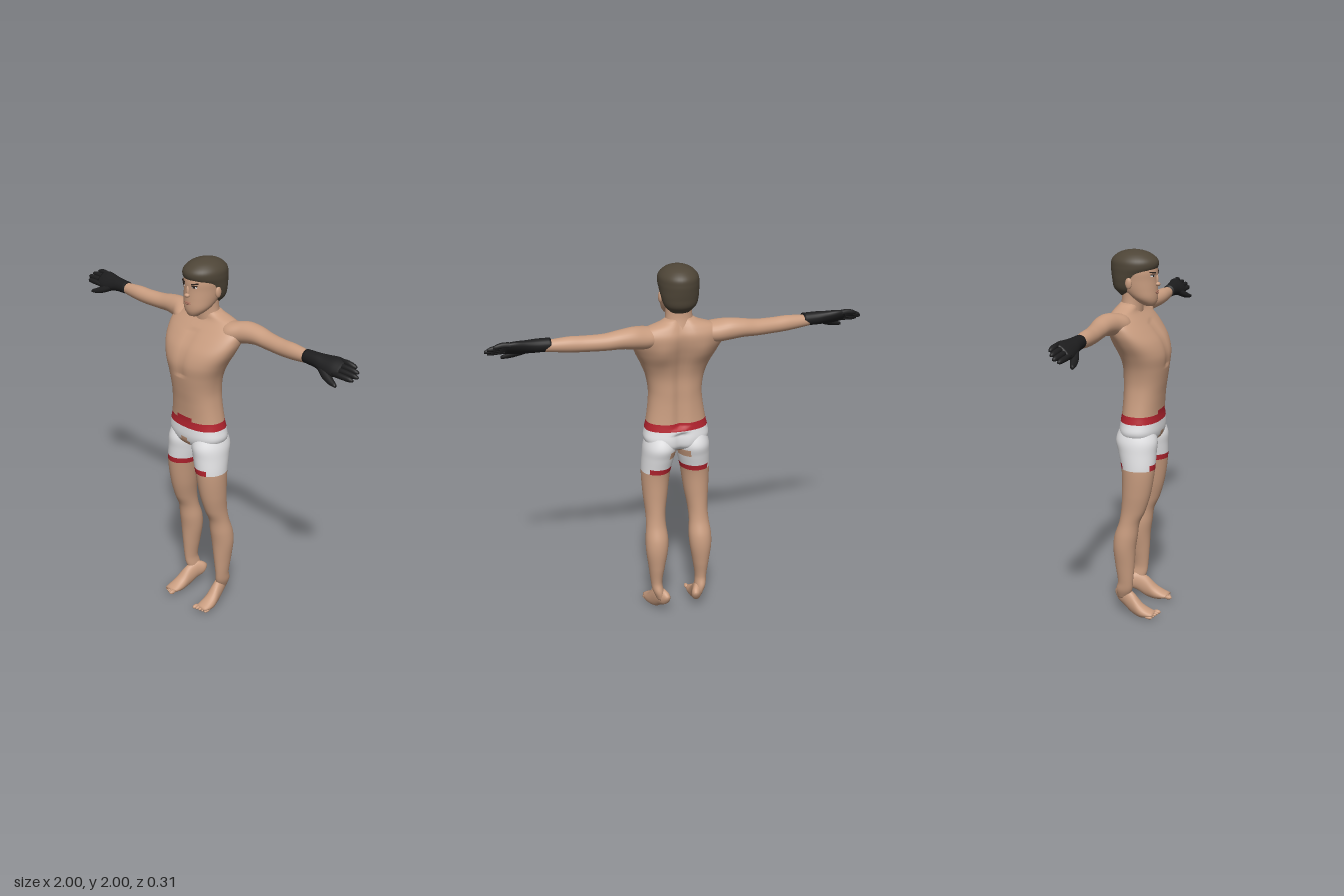
import * as THREE from 'three';

const mat = (name, color, side = THREE.FrontSide) => {
  const m = new THREE.MeshStandardMaterial({ color, side });
  m.name = name;
  return m;
};

// Smooth interpolation through key rows [t, cu, cv, ru, rv]
function sample(keys, t) {
  let i = 0;
  while (i < keys.length - 2 && t > keys[i + 1][0]) i++;
  const a = keys[i], b = keys[i + 1], h = b[0] - a[0], s = (t - a[0]) / h;
  const slope = (k, c) => {
    const p = keys[Math.max(k - 1, 0)], n = keys[Math.min(k + 1, keys.length - 1)];
    return (n[c] - p[c]) / (n[0] - p[0]);
  };
  return [1, 2, 3, 4].map(c => {
    const s2 = s * s, s3 = s2 * s;
    return (2 * s3 - 3 * s2 + 1) * a[c] + (s3 - 2 * s2 + s) * h * slope(i, c)
      + (3 * s2 - 2 * s3) * b[c] + (s3 - s2) * h * slope(i + 1, c);
  });
}

// Closed skin over oval sections. Axis x uses (u, v) = (z, y); y uses (x, z); z uses (y, x).
const place = {
  x: (t, u, v) => new THREE.Vector3(t, v, u),
  y: (t, u, v) => new THREE.Vector3(u, t, v),
  z: (t, u, v) => new THREE.Vector3(v, u, t),
};
function loft(axis, keys, { step = 0.01, sides = 36, power = 2, pick = () => 0, deform } = {}) {
  const t0 = keys[0][0], t1 = keys[keys.length - 1][0], n = Math.max(2, Math.round((t1 - t0) / step));
  const rows = [[t0, 0]];
  for (let i = 0; i <= n; i++) rows.push([t0 + (t1 - t0) * i / n, 1]);
  rows.push([t1, 0]);
  const pts = [], bend = c => Math.sign(c) * Math.abs(c) ** (2 / power);
  for (const [t, open] of rows) {
    const [cu, cv, ru, rv] = sample(keys, t);
    for (let j = 0; j < sides; j++) {
      const a = j / sides * Math.PI * 2;
      const p = place[axis](t, cu + open * ru * bend(Math.cos(a)), cv + open * rv * bend(Math.sin(a)));
      if (deform) deform(p);
      pts.push(p);
    }
  }
  const byColour = [];
  for (let i = 0; i < rows.length - 1; i++) for (let j = 0; j < sides; j++) {
    const k = (j + 1) % sides, a = i * sides + j, b = i * sides + k, c = a + sides, d = b + sides;
    const mid = pts[a].clone().add(pts[d]).multiplyScalar(0.5);
    (byColour[pick(mid)] ??= []).push(a, c, b, b, c, d);
  }
  const geo = new THREE.BufferGeometry().setFromPoints(pts), index = [];
  byColour.forEach((list, m) => {
    geo.addGroup(index.length, list.length, m);
    for (const v of list) index.push(v);
  });
  geo.setIndex(index);
  geo.computeVertexNormals();
  return geo;
}

function mirrored(geo) {
  const g = geo.clone().scale(-1, 1, 1), ix = g.index.array;
  for (let i = 0; i < ix.length; i += 3) [ix[i], ix[i + 1]] = [ix[i + 1], ix[i]];
  g.computeVertexNormals();
  return g;
}

// Skin 0, white 1, red 2: painted shorts with waistband and leg hems
function bodyColour({ x, y, z }) {
  const ax = Math.abs(x);
  if (y < 0.86) return 0;
  if (y < 0.89) return ax > 0.155 && Math.abs(z - 0.03) < 0.075 ? 1 : 2;
  if (z > 0.04 && y > 0.985 && y < 1.05 && ax < 0.012 + (1.05 - Math.abs(y - 1.02) * 8 - 0.7) * 0.07) return 0;
  if (z < 0 && y > 0.95 && y < 0.995 && ax < 0.06) return 0;
  if (y < 1.11) return 1;
  return y < (z > 0 && ax < 0.055 ? 1.17 : 1.15) ? 2 : 0;
}

export function createModel() {
  const root = new THREE.Group();
  root.name = 'boxerFigure';
  const skin = mat('skin', 0xc99d80), white = mat('white cloth', 0xe8e8ea), red = mat('red trim', 0xb5242f);
  const hairMat = mat('hair', 0x4e4537), black = mat('black glove', 0x1d1d1e);
  const dark = mat('eye and brow', 0x2a211c), lip = mat('lips', 0xa8735f);
  const body = [skin, white, red];
  const add = (name, geo, m) => {
    const mesh = new THREE.Mesh(geo, m);
    mesh.name = name;
    root.add(mesh);
  };
  const pair = (name, geo, m) => {
    add(name + 'Left', geo, m);
    add(name + 'Right', mirrored(geo), m);
  };
  const ball = (x, y, z, rx, ry, rz) => new THREE.SphereGeometry(1, 18, 12).scale(rx, ry, rz).translate(x, y, z);
  const plate = (x, y, z, w, h, turn, tilt = 0) =>
    new THREE.BoxGeometry(w, h, 0.007).rotateZ(tilt).rotateY(turn).translate(x, y, z);

  // Torso with a spine groove, shoulder blades and chest line
  add('torso', loft('y', [
    [0.98, 0, 0.01, 0.05, 0.06], [1.01, 0, 0.012, 0.14, 0.098], [1.05, 0, 0.015, 0.176, 0.11],
    [1.10, 0, 0.018, 0.172, 0.108], [1.15, 0, 0.02, 0.161, 0.102], [1.25, 0, 0.027, 0.146, 0.103],
    [1.32, 0, 0.032, 0.143, 0.108], [1.40, 0, 0.036, 0.157, 0.114], [1.47, 0, 0.03, 0.185, 0.123],
    [1.54, 0, 0.006, 0.22, 0.123], [1.60, 0, -0.025, 0.24, 0.11], [1.65, 0, -0.05, 0.235, 0.09],
    [1.69, 0, -0.06, 0.18, 0.065], [1.71, 0, -0.055, 0.11, 0.058], [1.73, 0, -0.05, 0.07, 0.05],
  ], {
    sides: 64, power: 2.3, pick: bodyColour,
    deform: p => {
      const g = Math.exp(-((p.x / 0.03) ** 2));
      if (p.z < -0.03 && p.y > 1.12) p.z += 0.02 * g - 0.012 * Math.exp(-(((Math.abs(p.x) - 0.11) / 0.05) ** 2) - ((p.y - 1.55) / 0.07) ** 2);
      if (p.z < -0.03 && p.y < 1.1) p.z += 0.02 * g;
      if (p.z > 0.05 && p.y > 1.4) p.z -= 0.008 * g;
    },
  }), body);

  // Legs, with the shorts' legs painted on
  pair('leg', loft('y', [
    [0.10, 0.108, -0.06, 0.024, 0.03], [0.15, 0.122, -0.05, 0.03, 0.045], [0.20, 0.128, -0.04, 0.031, 0.042],
    [0.30, 0.127, -0.043, 0.045, 0.053], [0.40, 0.125, -0.045, 0.06, 0.061], [0.47, 0.123, -0.037, 0.062, 0.063],
    [0.55, 0.122, -0.018, 0.054, 0.056], [0.62, 0.12, 0.003, 0.055, 0.066], [0.72, 0.116, 0.02, 0.067, 0.078],
    [0.85, 0.11, 0.028, 0.079, 0.09], [0.95, 0.097, 0.019, 0.088, 0.104], [1.01, 0.09, 0.013, 0.09, 0.112],
    [1.08, 0.085, 0.012, 0.075, 0.09],
  ], { sides: 44, pick: bodyColour }), body);

  // Feet on tiptoe, with five toes each
  pair('foot', loft('z', [
    [-0.112, 0.12, 0.083, 0.012, 0.012], [-0.09, 0.112, 0.09, 0.038, 0.027], [-0.05, 0.105, 0.106, 0.055, 0.03],
    [0, 0.076, 0.118, 0.06, 0.033], [0.05, 0.044, 0.126, 0.04, 0.04], [0.09, 0.034, 0.128, 0.024, 0.041],
    [0.125, 0.032, 0.128, 0.012, 0.034],
  ], { sides: 24 }), skin);
  for (let i = 0; i < 5; i++) {
    const r = i ? 0.0085 : 0.012;
    pair('toe' + (i + 1), ball(0.098 + i * 0.0155, 0.033 - i * 0.003, 0.132 - i * 0.007, r, r, 0.021), skin);
  }

  // Outstretched arms
  pair('arm', loft('x', [
    [0.10, -0.06, 1.64, 0.05, 0.045], [0.18, -0.06, 1.642, 0.072, 0.057], [0.25, -0.082, 1.653, 0.062, 0.057],
    [0.32, -0.09, 1.655, 0.054, 0.049], [0.40, -0.087, 1.648, 0.047, 0.043], [0.50, -0.078, 1.647, 0.043, 0.041],
    [0.58, -0.074, 1.65, 0.04, 0.04], [0.70, -0.07, 1.652, 0.028, 0.028],
  ], { sides: 28 }), skin);

  // Gloves, modelled flat and then tilted with the thumb forward and down
  const tilt = g => g.rotateX(0.72).translate(0, 1.658, -0.066);
  pair('glovePalm', tilt(loft('x', [
    [0.67, 0, 0, 0.034, 0.034], [0.74, 0, 0, 0.038, 0.034], [0.79, 0.002, 0, 0.046, 0.03],
    [0.85, 0, 0, 0.053, 0.026], [0.895, 0, 0, 0.048, 0.019],
  ], { sides: 24 })), black);
  [0.958, 0.985, 0.998, 0.982].forEach((end, i) => {
    const z = -0.037 + i * 0.0245;
    pair('gloveFinger' + (i + 1), tilt(loft('x', [
      [0.865, z, 0, 0.013, 0.015], [0.91, z, 0.003, 0.014, 0.015], [end - 0.015, z * 0.95, -0.002, 0.012, 0.012],
      [end, z * 0.93, -0.005, 0.006, 0.006],
    ], { sides: 12 })), black);
  });
  pair('gloveThumb', tilt(loft('x', [
    [0.77, 0.02, 0, 0.022, 0.02], [0.82, 0.048, -0.004, 0.026, 0.018], [0.87, 0.072, -0.008, 0.019, 0.014],
    [0.91, 0.086, -0.01, 0.009, 0.008],
  ], { sides: 14 })), black);

  // Neck and head
  add('neck', loft('y', [
    [1.65, 0, -0.055, 0.10, 0.065], [1.69, 0, -0.047, 0.08, 0.06], [1.74, 0, -0.04, 0.07, 0.056],
    [1.83, 0, -0.035, 0.07, 0.06],
  ]), skin);
  add('head', loft('y', [
    [1.715, 0, 0.052, 0.03, 0.027], [1.735, 0, 0.038, 0.054, 0.052], [1.76, 0, 0.02, 0.073, 0.074],
    [1.80, 0, -0.004, 0.085, 0.097], [1.85, 0, -0.02, 0.092, 0.111], [1.90, 0, -0.025, 0.096, 0.116],
    [1.95, 0, -0.027, 0.084, 0.103], [1.98, 0, -0.027, 0.05, 0.06],
  ], { sides: 40 }), skin);
  add('hair', loft('y', [
    [1.765, 0, -0.065, 0.05, 0.038], [1.80, 0, -0.066, 0.082, 0.07], [1.845, 0, -0.058, 0.096, 0.088],
    [1.885, 0, -0.042, 0.102, 0.11], [1.915, 0, -0.03, 0.105, 0.124], [1.95, 0, -0.028, 0.099, 0.12],
    [1.98, 0, -0.03, 0.07, 0.085], [1.993, 0, -0.03, 0.04, 0.05], [1.999, 0, -0.03, 0.012, 0.015],
  ], { sides: 40, step: 0.006 }), hairMat);

  // Face
  add('noseBridge', ball(0, 1.848, 0.09, 0.009, 0.028, 0.01), skin);
  add('noseTip', ball(0, 1.827, 0.096, 0.015, 0.011, 0.014), skin);
  add('upperLip', ball(0, 1.789, 0.0925, 0.024, 0.004, 0.006), lip);
  add('lowerLip', ball(0, 1.781, 0.0925, 0.019, 0.005, 0.006), lip);
  pair('ear', ball(0.094, 1.838, -0.03, 0.011, 0.03, 0.018), skin);
  pair('eyeWhite', plate(0.039, 1.874, 0.081, 0.026, 0.008, 0.46), white);
  pair('iris', plate(0.037, 1.874, 0.083, 0.011, 0.009, 0.46), dark);
  pair('eyelid', plate(0.039, 1.8795, 0.082, 0.03, 0.004, 0.46, 0.08), dark);
  pair('eyebrow', plate(0.041, 1.891, 0.082, 0.038, 0.006, 0.46, 0.15), dark);
  return root;
}
